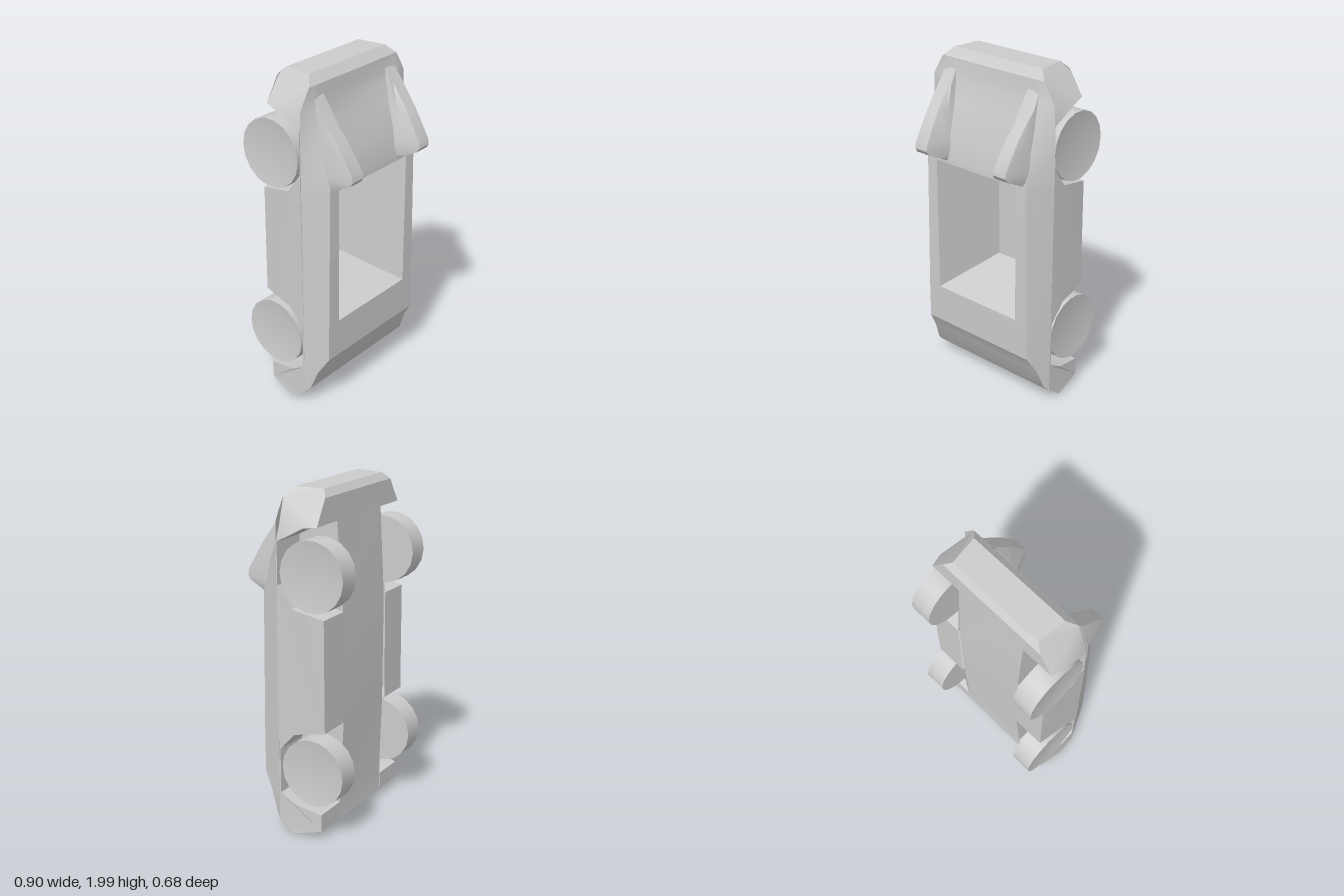
import * as THREE from 'three';
import { toCreasedNormals } from 'three/addons/utils/BufferGeometryUtils.js';

const material = new THREE.MeshStandardMaterial({ color: 0xcccccc, side: THREE.DoubleSide });

function addMesh(parent, name, geometry, crease = 0.45) {
  const mesh = new THREE.Mesh(toCreasedNormals(geometry, crease), material);
  mesh.name = name;
  parent.add(mesh);
  return mesh;
}

// Surface through rows of [x, y, z] points; skip(row, column) leaves an opening.
function grid(rows, skip = () => false) {
  const pos = [];
  for (let i = 0; i < rows.length - 1; i++) {
    for (let j = 0; j < rows[i].length - 1; j++) {
      if (skip(i, j)) continue;
      const a = rows[i][j], b = rows[i][j + 1], c = rows[i + 1][j + 1], d = rows[i + 1][j];
      pos.push(...a, ...b, ...c, ...a, ...c, ...d);
    }
  }
  const g = new THREE.BufferGeometry();
  g.setAttribute('position', new THREE.Float32BufferAttribute(pos, 3));
  g.computeVertexNormals();
  return g;
}

// Flat outline in (z, y), placed at the x given by a rule.
function panel(points, xRule) {
  const g = new THREE.ShapeGeometry(new THREE.Shape(points.map(p => new THREE.Vector2(...p))));
  const p = g.attributes.position;
  for (let i = 0; i < p.count; i++) {
    const z = p.getX(i), y = p.getY(i);
    p.setXYZ(i, xRule(z, y), y, z);
  }
  g.computeVertexNormals();
  return g;
}

// Profiles in (z, y)
const rearEnd = [[0.075, 1.95], [0.03, 2], [-0.14, 2], [-0.172, 1.96], [-0.175, 1.82]];
const rearArch = [[-0.175, 1.82], [-0.1, 1.81], [0.068, 1.72], [0.068, 1.48], [-0.02, 1.36], [-0.215, 1.32]];
const frontArch = [[-0.22, 0.67], [-0.03, 0.63], [0.065, 0.52], [0.065, 0.25], [-0.02, 0.2], [-0.195, 0.165]];
const noseEnd = [[-0.195, 0.06], [-0.02, 0.01], [0.075, 0.08]];
const sideProfile = [...rearEnd, ...rearArch.slice(1), ...frontArch, ...noseEnd];
const floorProfile = [...rearEnd, [-0.205, 1.3], [-0.205, 0.67], [-0.19, 0.165], ...noseEnd];
const INNER = 0.23;

// Half width of the lower body: tucked under at the sill, tapered at the tail.
function halfWidth(z, y) {
  const tuck = z < -0.12 ? 0.02 : 0;
  const tail = y > 1.83 ? (y - 1.83) * (y > 1.96 ? 0.75 : 0.65) : 0;
  return 0.447 - tuck - tail;
}

export function createModel() {
  const model = new THREE.Group();
  model.name = 'car';

  // Underside, nose and tail between the wheel wells
  addMesh(model, 'underbody', grid(floorProfile.map(([z, y]) => [[-INNER, y, z], [INNER, y, z]])));

  // Lower sides with wheel arches and the inner walls of the wells
  for (const s of [-1, 1]) {
    addMesh(model, 'sidePanel', panel(sideProfile, (z, y) => s * halfWidth(z, y)));
    addMesh(model, 'archAndSill', grid(sideProfile.map(([z, y]) =>
      [[s * INNER, y, z], [s * halfWidth(z, y), y, z]])));
    for (const arch of [rearArch, frontArch]) {
      addMesh(model, 'wheelWellWall', panel(arch, () => s * INNER));
    }
  }

  // Upper body stations: y, side half width, shoulder half width, shoulder z, centre z
  const stations = [
    [0.08, 0.447, 0.44, 0.078, 0.078],
    [0.11, 0.447, 0.43, 0.105, 0.105],
    [0.23, 0.447, 0.415, 0.15, 0.15],
    [0.33, 0.447, 0.388, 0.212, 0.212],
    [0.56, 0.447, 0.386, 0.214, 0.214],
    [1.38, 0.447, 0.37, 0.214, 0.214],
    [1.41, 0.447, 0.37, 0.212, 0.212],
    [1.56, 0.447, 0.36, 0.185, 0.185],
    [1.72, 0.447, 0.35, 0.135, 0.125],
    [1.83, 0.443, 0.345, 0.105, 0.09],
    [1.88, 0.415, 0.34, 0.088, 0.082],
    [1.95, 0.37, 0.33, 0.077, 0.076],
  ];
  const upper = stations.map(([y, side, shoulder, zs, zc]) => [
    [-side, y, 0.075], [-shoulder, y, zs], [-0.3, y, zc],
    [0.3, y, zc], [shoulder, y, zs], [side, y, 0.075],
  ]);
  addMesh(model, 'upperBody', grid(upper, (i, j) => i === 4 && j === 2));

  // Sunken cabin with sloping walls
  const ring = (x, y0, y1, z) =>
    [[-x, y0, z], [x, y0, z], [x, y1, z], [-x, y1, z], [-x, y0, z]];
  addMesh(model, 'cabinWalls', grid([ring(0.3, 0.56, 1.38, 0.214), ring(0.19, 0.67, 1.27, -0.195)]));
  const floor = addMesh(model, 'cabinFloor', new THREE.PlaneGeometry(0.38, 0.6));
  floor.position.set(0, 0.97, -0.195);

  // Rear buttresses: y, base inner x, top inner x, top outer x, base outer x, top z
  const fin = [
    [1.395, 0.2, 0.22, 0.345, 0.365, 0.212],
    [1.42, 0.195, 0.225, 0.345, 0.37, 0.26],
    [1.45, 0.195, 0.245, 0.34, 0.372, 0.325],
    [1.475, 0.195, 0.25, 0.338, 0.372, 0.342],
    [1.51, 0.2, 0.25, 0.338, 0.37, 0.336],
    [1.67, 0.225, 0.262, 0.342, 0.362, 0.24],
    [1.81, 0.25, 0.275, 0.335, 0.352, 0.13],
    [1.9, 0.26, 0.28, 0.325, 0.34, 0.075],
  ];
  for (const s of [-1, 1]) {
    addMesh(model, 'buttress', grid(fin.map(([y, bi, ti, to, bo, z]) => [
      [s * bi, y, 0.07], [s * (bi + 0.005), y, Math.min(z, 0.19)], [s * ti, y, z],
      [s * to, y, z], [s * bo, y, Math.min(z, 0.19)], [s * bo, y, 0.07],
    ])), 0.6);
  }

  // Wheels with slightly dished outer faces
  const wheelProfile = [[0, 0.055], [0.14, 0.057], [0.2, 0.066], [0.2, -0.066], [0, -0.066]]
    .map(p => new THREE.Vector2(...p));
  for (const s of [-1, 1]) {
    for (const y of [0.415, 1.55]) {
      const wheel = addMesh(model, 'wheel', new THREE.LatheGeometry(wheelProfile, 18));
      wheel.rotation.z = -s * Math.PI / 2;
      wheel.position.set(s * 0.378 - 0.006, y, -0.142);
    }
  }
  return model;
}
